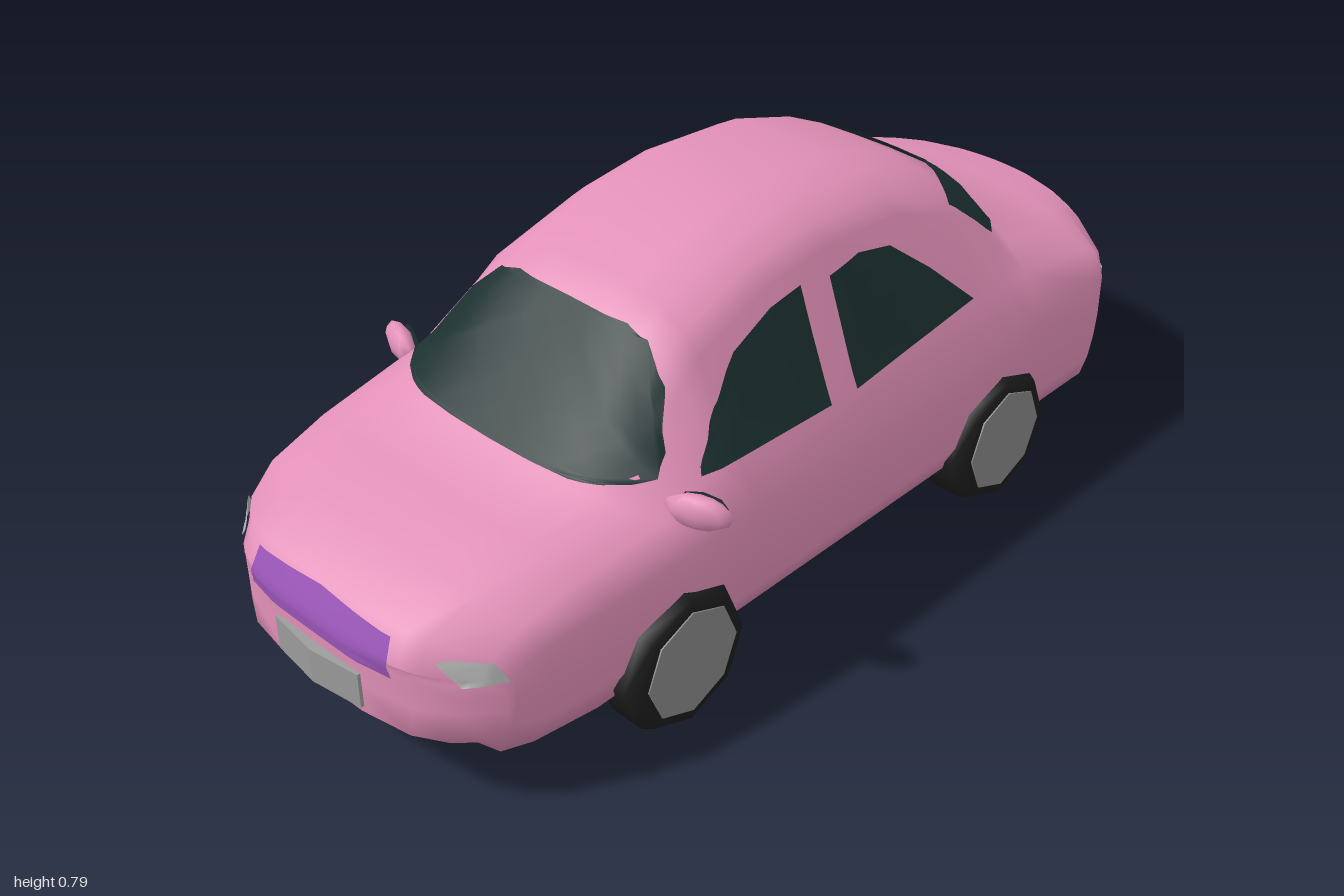
import * as THREE from 'three';
import { mergeVertices } from 'three/addons/utils/BufferGeometryUtils.js';

const paint = (color) => new THREE.MeshStandardMaterial({ color, side: THREE.DoubleSide });
const PINK = paint(0xe391b9), GLASS = paint(0x1c3030), RUBBER = paint(0x1c1c1c);
const HUB = paint(0x888888), PLATE = paint(0x9c9c9c), LAMP = paint(0xb4b4b4), GRILLE = paint(0x9a55b8);

// A line along the car through (z, value) points, nose to tail
const line = (...pts) => (z) => {
  const i = pts.findIndex((p) => p[0] <= z);
  if (i === 0) return pts[0][1];
  if (i < 0) return pts[pts.length - 1][1];
  const [z0, v0] = pts[i - 1], [z1, v1] = pts[i];
  return v0 + (v1 - v0) * (z - z0) / (z1 - z0);
};

// Body lines: heights, half widths and how far the sides sweep back
const STATIONS = [0.98, 0.95, 0.84, 0.7, 0.56, 0.45, 0.34, 0.29, 0.1, -0.07, -0.28, -0.47, -0.58, -0.66, -0.85, -0.93, -0.985];
const topLine = line([0.98, 0.32], [0.95, 0.38], [0.84, 0.43], [0.56, 0.475], [0.34, 0.69], [0.29, 0.725], [0.1, 0.78],
  [-0.07, 0.795], [-0.28, 0.775], [-0.47, 0.71], [-0.58, 0.645], [-0.66, 0.535], [-0.85, 0.495], [-0.985, 0.46]);
const roofDrop = line([0.98, 0.005], [0.56, 0.015], [0.45, 0.06], [0.34, 0.08], [-0.58, 0.073], [-0.66, 0.02], [-0.985, 0.01]);
const roofHalf = line([0.95, 0.24], [0.56, 0.3], [0.34, 0.27], [0.1, 0.256], [-0.28, 0.255], [-0.66, 0.29], [-0.985, 0.28]);
const beltLine = line([0.98, 0.3], [0.95, 0.345], [0.84, 0.39], [0.7, 0.42], [0.34, 0.475], [-0.66, 0.475], [-0.985, 0.43]);
const beltHalf = line([0.98, 0.33], [0.56, 0.37], [0.34, 0.36], [-0.66, 0.36], [-0.93, 0.38]);
const shoulderLine = line([0.98, 0.27], [0.95, 0.31], [0.84, 0.35], [0.56, 0.38], [0.34, 0.39]);
const sideHalf = line([0.98, 0.35], [0.84, 0.38], [0.56, 0.41]);
const floorHalf = line([0.98, 0.33], [0.7, 0.37], [-0.985, 0.38]);
const floorLine = line([0.98, 0.17], [0.95, 0.14], [0.84, 0.13], [-0.93, 0.125], [-0.985, 0.17]);
const sweep = line([0.98, 0.22], [0.95, 0.18], [0.84, 0.07], [0.7, 0.05], [0.56, 0.1], [0.34, 0], [-0.28, 0],
  [-0.66, 0.08], [-0.85, 0.06], [-0.985, 0.16]);

// One closed cross-section, floor to roof and mirrored
function ring(z, scale) {
  const floor = floorLine(z), side = sideHalf(z), shoulder = shoulderLine(z), top = topLine(z);
  const roof = roofHalf(z), drop = roofDrop(z);
  const half = [
    [0, floor], [floorHalf(z), floor], [side * 0.98, floor + 0.06], [side, 0.1 + shoulder / 2], [side, shoulder],
    [beltHalf(z), beltLine(z)], [roof, top - drop], [roof * 0.85, top - drop * 0.55],
    [roof * 0.65, top - drop * 0.15], [roof * 0.35, top], [0, top],
  ];
  const all = [...half, ...half.slice(1, -1).reverse().map(([x, y]) => [-x, y])];
  return all.map(([x, y]) => {
    const t = Math.abs(x * scale) / 0.4;
    return [x * scale, y, z - Math.sign(z) * sweep(z) * t ** (z > 0 ? 4 : 2)];
  });
}

// Body skin; the end sections narrow to the centre line to close nose and tail
function bodyGeometry() {
  const caps = [0, 0.33, 0.66, 0.85];
  const rings = [
    ...caps.map((s) => ring(STATIONS[0], s)),
    ...STATIONS.map((z) => ring(z, 1)),
    ...[...caps].reverse().map((s) => ring(STATIONS[STATIONS.length - 1], s)),
  ];
  const n = rings[0].length, index = [];
  for (let i = 0; i < rings.length - 1; i++) {
    for (let j = 0; j < n; j++) {
      const a = i * n + j, b = i * n + (j + 1) % n;
      index.push(a, a + n, b, b, a + n, b + n);
    }
  }
  return skin(rings.flat(2), index);
}

// Smooth surface from loose corners
function skin(points, index = null) {
  const loose = new THREE.BufferGeometry();
  loose.setAttribute('position', new THREE.Float32BufferAttribute(points, 3));
  loose.setIndex(index);
  const geo = mergeVertices(loose, 1e-4);
  geo.computeVertexNormals();
  return geo;
}

// Lays a flat outline on the body, looking along one axis
const VIEWS = {
  side: (s) => [([z, y]) => new THREE.Vector3(2 * s, y, z), new THREE.Vector3(-s, 0, 0)],
  end: (s) => [([x, y]) => new THREE.Vector3(x, y, 2 * s), new THREE.Vector3(0, 0, -s)],
  top: () => [([x, z]) => new THREE.Vector3(x, 2, z), new THREE.Vector3(0, -1, 0)],
};
function panel(body, name, material, view, sign, outline) {
  const [place, dir] = VIEWS[view](sign);
  const caster = new THREE.Raycaster();
  const project = (p) => {
    caster.set(place(p), dir);
    const hit = caster.intersectObject(body)[0];
    return hit && hit.point.clone().addScaledVector(hit.normal.clone().normalize(), 0.007);
  };
  const mid = (p, q) => [(p[0] + q[0]) / 2, (p[1] + q[1]) / 2];
  const points = [];
  const split = (a, b, c, depth) => {
    if (depth === 0) {
      const hits = [a, b, c].map(project);
      if (hits.every(Boolean)) hits.forEach((v) => points.push(...v.toArray()));
      return;
    }
    const ab = mid(a, b), bc = mid(b, c), ca = mid(c, a);
    [[a, ab, ca], [ab, b, bc], [ca, bc, c], [ab, bc, ca]].forEach((t) => split(...t, depth - 1));
  };
  const corners = outline.map((p) => new THREE.Vector2(...p));
  THREE.ShapeUtils.triangulateShape(corners, []).forEach((f) => split(...f.map((i) => outline[i]), 3));
  const mesh = new THREE.Mesh(skin(points), material);
  mesh.name = name;
  return mesh;
}

const mirrored = (half) => [...half, ...[...half].reverse().filter(([x]) => x !== 0).map(([x, y]) => [-x, y])];

// Eight-sided tyre with chamfered shoulders and a flat hub
function wheel(name, side, z) {
  const group = new THREE.Group();
  group.name = name;
  const profile = [[0, -0.058], [0.135, -0.058], [0.151, -0.04], [0.151, 0.035], [0.138, 0.058], [0.115, 0.06], [0, 0.055]];
  const tyre = new THREE.Mesh(new THREE.LatheGeometry(profile.map((p) => new THREE.Vector2(...p)), 8), RUBBER);
  tyre.name = 'tyre';
  const hub = new THREE.Mesh(new THREE.CylinderGeometry(0.115, 0.115, 0.01, 8), HUB);
  hub.name = 'hub';
  hub.position.y = 0.058;
  group.add(tyre, hub);
  group.rotation.z = -side * Math.PI / 2;
  group.position.set(side * 0.368, 0.153, z);
  return group;
}

// Swept-back door mirror with glass facing the rear
function doorMirror(name, side) {
  const group = new THREE.Group();
  group.name = name;
  const shell = new THREE.Mesh(new THREE.SphereGeometry(1, 8, 6), PINK);
  shell.name = 'mirrorShell';
  shell.scale.set(0.066, 0.035, 0.024);
  const glass = new THREE.Mesh(new THREE.CircleGeometry(1, 8), GLASS);
  glass.name = 'mirrorGlass';
  glass.scale.set(0.048, 0.026, 1);
  glass.rotation.y = Math.PI;
  glass.position.z = -0.025;
  group.add(shell, glass);
  group.position.set(side * 0.402, 0.455, 0.437);
  group.rotation.y = side * 0.38;
  return group;
}

// Number plate bent at its middle
function plate(name, turn) {
  const plan = [[-0.115, 0.94], [0.115, 0.94], [0.115, 0.985], [0, 1], [-0.115, 0.985]];
  const shape = new THREE.Shape(plan.map((p) => new THREE.Vector2(...p)));
  const geo = new THREE.ExtrudeGeometry(shape, { depth: 0.075, bevelEnabled: false });
  geo.rotateX(Math.PI / 2).translate(0, 0.26, 0).rotateY(turn);
  const mesh = new THREE.Mesh(geo, PLATE);
  mesh.name = name;
  return mesh;
}

export function createModel() {
  const car = new THREE.Group();
  car.name = 'car';
  const body = new THREE.Mesh(bodyGeometry(), PINK);
  body.name = 'body';

  // Glass, grille and plates across the middle
  car.add(
    body,
    panel(body, 'windshield', GLASS, 'end', 1,
      mirrored([[0, 0.476], [0.22, 0.478], [0.315, 0.487], [0.25, 0.61], [0.19, 0.67], [0.14, 0.684], [0, 0.685]])),
    panel(body, 'rearWindow', GLASS, 'top', 1,
      mirrored([[0, -0.66], [0.12, -0.645], [0.25, -0.6], [0.292, -0.55], [0.255, -0.445], [0.13, -0.53], [0, -0.555]])),
    panel(body, 'grille', GRILLE, 'end', 1, mirrored([[0, 0.292], [0.19, 0.29], [0.18, 0.362], [0, 0.374]])),
    plate('frontPlate', 0),
    plate('rearPlate', Math.PI),
  );

  // Paired parts
  for (const [label, s] of [['left', 1], ['right', -1]]) {
    const flip = (pts) => pts.map(([x, y]) => [x * s, y]);
    car.add(
      panel(body, label + 'FrontWindow', GLASS, 'side', s,
        [[0.38, 0.475], [0.30, 0.565], [0.22, 0.63], [0.11, 0.67], [0.025, 0.68], [0.04, 0.465]]),
      panel(body, label + 'RearWindow', GLASS, 'side', s,
        [[-0.035, 0.465], [-0.05, 0.67], [-0.14, 0.68], [-0.23, 0.66], [-0.32, 0.585], [-0.415, 0.49]]),
      panel(body, label + 'Headlight', LAMP, 'end', 1,
        flip([[0.258, 0.34], [0.28, 0.345], [0.335, 0.343], [0.352, 0.305], [0.30, 0.297]])),
      panel(body, label + 'Taillight', LAMP, 'end', -1,
        flip([[0.31, 0.28], [0.39, 0.29], [0.39, 0.40], [0.31, 0.41]])),
      doorMirror(label + 'Mirror', s),
      wheel(label + 'FrontWheel', s, 0.48),
      wheel(label + 'RearWheel', s, -0.47),
    );
  }
  return car;
}
